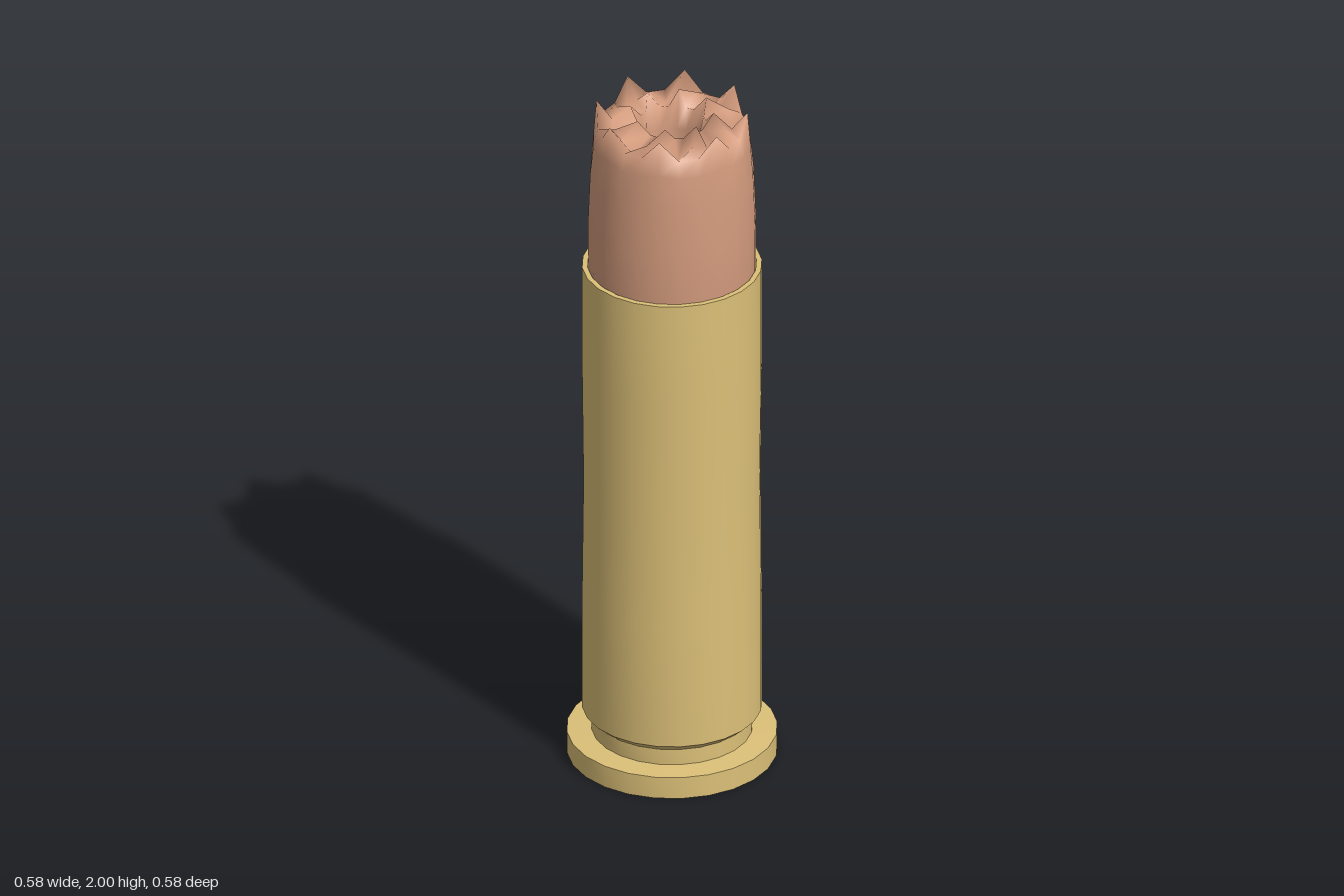
import * as THREE from 'three';
import { toCreasedNormals } from 'three/addons/utils/BufferGeometryUtils.js';

const SIDES = 24;

// Rings of 24 points; every ring repeats three (radius, height) pairs eight times around.
function ringedSurface(rings) {
  const positions = [];
  const index = [];
  rings.forEach((ring, i) => {
    for (let j = 0; j < SIDES; j++) {
      const [r, y] = ring[j % ring.length];
      const a = (j / SIDES) * Math.PI * 2;
      positions.push(r * Math.sin(a), y, r * Math.cos(a));
      if (i === rings.length - 1) continue;
      const n = (j + 1) % SIDES;
      const p = i * SIDES + j, q = i * SIDES + n;
      index.push(p, q, q + SIDES, p, q + SIDES, p + SIDES);
    }
  });
  const geometry = new THREE.BufferGeometry();
  geometry.setAttribute('position', new THREE.Float32BufferAttribute(positions, 3));
  geometry.setIndex(index);
  geometry.computeVertexNormals();
  return geometry;
}

export function createModel() {
  const group = new THREE.Group();
  const brass = new THREE.MeshStandardMaterial({ color: 0xdcc078 });
  brass.name = 'brass';
  const copper = new THREE.MeshStandardMaterial({ color: 0xd39b7d });
  copper.name = 'copper';
  copper.side = THREE.DoubleSide;

  // Casing: flanged base, groove, slightly waisted tube and open mouth
  const profile = [
    [0, 0], [0.288, 0], [0.288, 0.065], [0.22, 0.068], [0.22, 0.115], [0.246, 0.138],
    [0.246, 0.5], [0.242, 0.85], [0.246, 1.2], [0.246, 1.51], [0.231, 1.51], [0.228, 1.42],
  ].map(([r, y]) => new THREE.Vector2(r, y));
  const casing = new THREE.Mesh(
    toCreasedNormals(new THREE.LatheGeometry(profile, SIDES), 0.6), brass);
  casing.name = 'casing';
  group.add(casing);

  // Tip: rounded sides, jagged outer crown, twisted folds, inner star and hollow
  const tip = new THREE.Mesh(ringedSurface([
    [[0.222, 1.42]],
    [[0.229, 1.52]],
    [[0.23, 1.65]],
    [[0.224, 1.8]],
    [[0.217, 1.9], [0.215, 1.89], [0.215, 1.89]],
    [[0.209, 2.0], [0.203, 1.94], [0.203, 1.94]],    // outer crown
    [[0.165, 1.945], [0.165, 1.92], [0.165, 1.96]],  // folds
    [[0.115, 1.99], [0.092, 1.95], [0.092, 1.95]],   // inner star
    [[0.09, 1.88]],
    [[0.088, 1.78]],
    [[0.06, 1.73]],
    [[0, 1.71]],
  ]), copper);
  tip.name = 'hollowTip';
  group.add(tip);

  return group;
}
